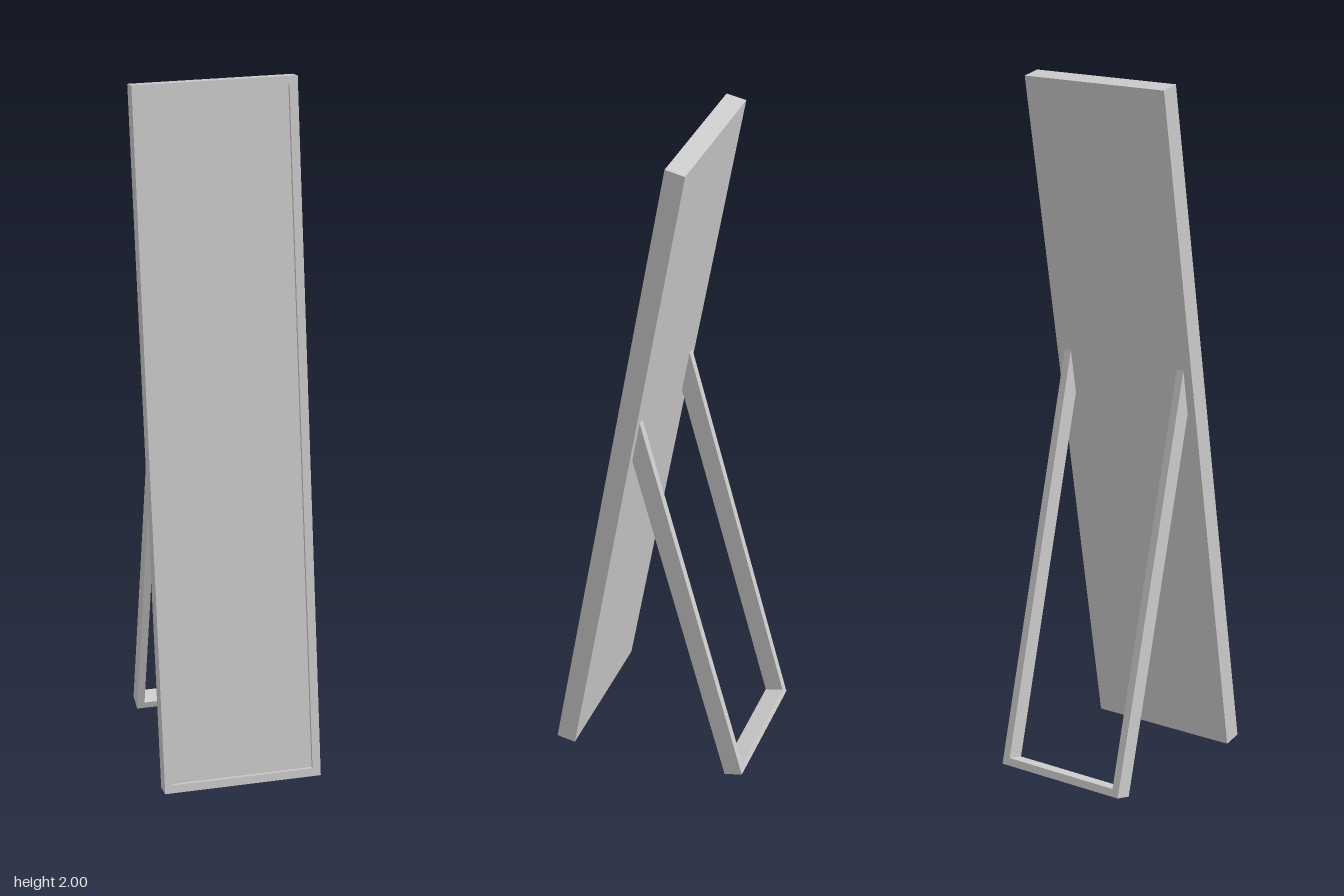
import * as THREE from 'three';

const material = new THREE.MeshStandardMaterial({ color: 0xcccccc, flatShading: true });

function addPart(parent, name, geometry) {
  const mesh = new THREE.Mesh(geometry, material);
  mesh.name = name;
  parent.add(mesh);
  return mesh;
}

function rectangle(PathType, x0, y0, x1, y1) {
  return new PathType([[x0, y0], [x1, y0], [x1, y1], [x0, y1]].map(([x, y]) => new THREE.Vector2(x, y)));
}

// Leaning mirror; local origin at the middle of its lower back edge
function createMirror() {
  const halfWidth = 0.231, height = 2.021, depth = 0.057;
  const border = 0.024, recess = 0.012, paneDepth = 0.006;
  const boardDepth = depth - recess - paneDepth;
  const mirror = new THREE.Group();
  mirror.name = 'mirror';

  // Closed back
  addPart(mirror, 'backBoard', new THREE.BoxGeometry(halfWidth * 2, height, boardDepth))
    .position.set(0, height / 2, boardDepth / 2);

  // Raised border around the glass
  const outline = rectangle(THREE.Shape, -halfWidth, 0, halfWidth, height);
  outline.holes.push(rectangle(THREE.Path, border - halfWidth, border, halfWidth - border, height - border));
  addPart(mirror, 'frame', new THREE.ExtrudeGeometry(outline, { depth: depth - boardDepth, bevelEnabled: false }))
    .position.z = boardDepth;

  // Recessed glass
  addPart(mirror, 'mirrorPane', new THREE.BoxGeometry((halfWidth - border) * 2, height - border * 2, paneDepth))
    .position.set(0, height / 2, boardDepth + paneDepth / 2);

  mirror.position.z = 0.234;
  mirror.rotation.x = -THREE.MathUtils.degToRad(10);
  return mirror;
}

// U-shaped rear stand; local origin at the middle of its lower front edge
function createStand() {
  const halfWidth = 0.205, thickness = 0.022, depth = 0.056;
  const frontLength = 1.097, backLength = 1.217;
  const stand = new THREE.Group();
  stand.name = 'stand';

  // Legs, cut at the top to meet the back of the mirror
  const side = new THREE.Shape([[0, 0], [depth, 0], [depth, backLength], [0, frontLength]]
    .map(([x, y]) => new THREE.Vector2(x, y)));
  const legGeometry = new THREE.ExtrudeGeometry(side, { depth: thickness, bevelEnabled: false });
  legGeometry.rotateY(Math.PI / 2);
  addPart(stand, 'leftLeg', legGeometry).position.x = halfWidth - thickness;
  addPart(stand, 'rightLeg', legGeometry).position.x = -halfWidth;

  // Bottom rail between the legs
  addPart(stand, 'crossbar', new THREE.BoxGeometry((halfWidth - thickness) * 2, thickness, depth))
    .position.set(0, thickness / 2, -depth / 2);

  stand.position.z = -0.237;
  stand.rotation.x = THREE.MathUtils.degToRad(15);
  return stand;
}

export function createModel() {
  const model = new THREE.Group();
  model.name = 'standingMirror';
  model.add(createMirror(), createStand());
  return model;
}
